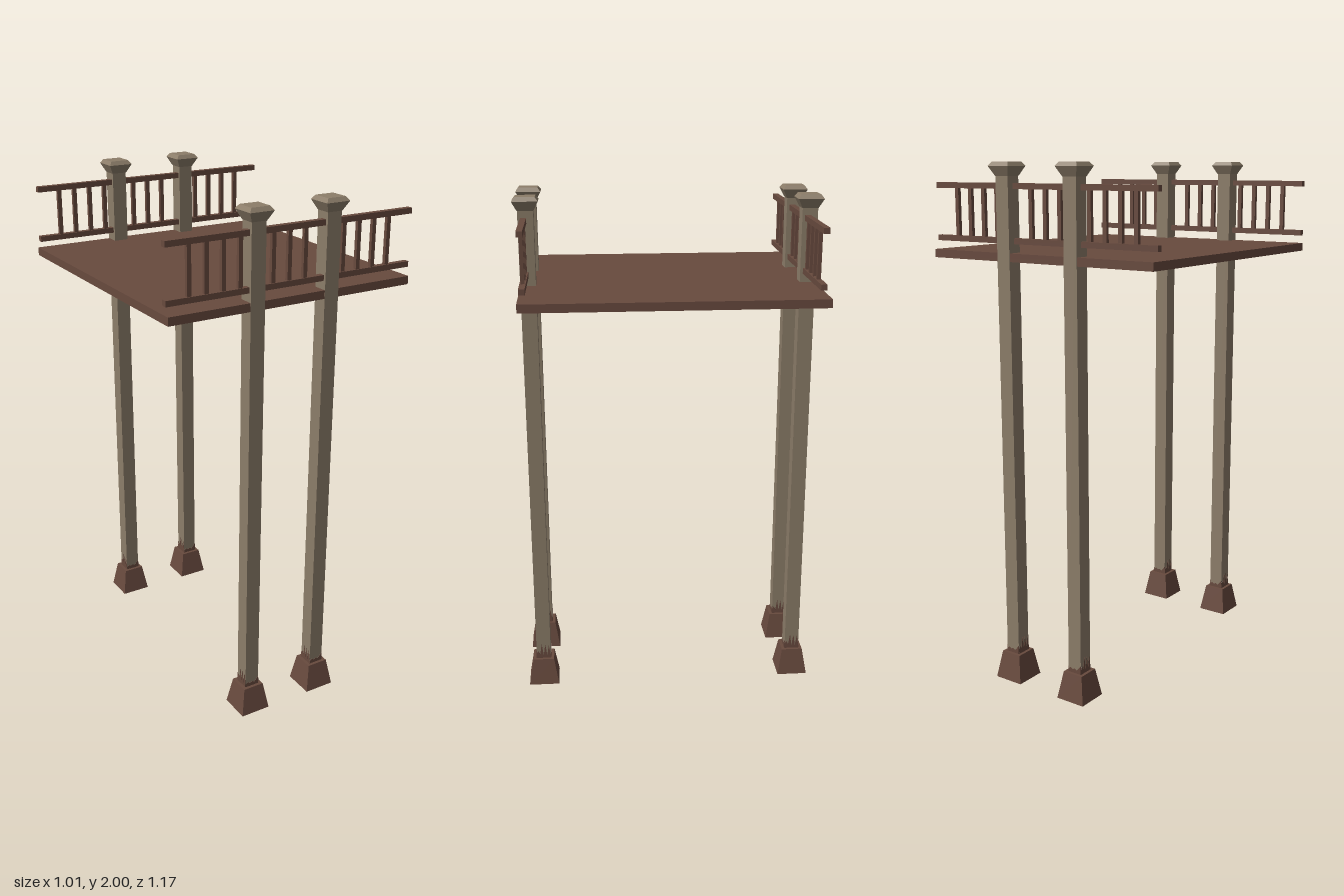
import * as THREE from 'three';

const brownWood = new THREE.MeshStandardMaterial({ color: 0x684a3e });
brownWood.name = 'brownWood';
const paleWood = new THREE.MeshStandardMaterial({ color: 0x8c7d69 });
paleWood.name = 'paleWood';

function box(name, material, w, h, d, x, y, z) {
  const mesh = new THREE.Mesh(new THREE.BoxGeometry(w, h, d), material);
  mesh.name = name;
  mesh.position.set(x, y, z);
  return mesh;
}

// Square tapered block: widths at bottom and top
function taper(name, material, bottom, top, y0, y1) {
  const g = new THREE.CylinderGeometry(top * Math.SQRT1_2, bottom * Math.SQRT1_2, y1 - y0, 4)
    .rotateY(Math.PI / 4).toNonIndexed();
  g.computeVertexNormals();
  const mesh = new THREE.Mesh(g, material);
  mesh.name = name;
  mesh.position.y = (y0 + y1) / 2;
  return mesh;
}

// Thin jagged stain plate that climbs one face of a post
function stain(heights) {
  const w = 0.058, step = w / (heights.length - 1);
  const shape = new THREE.Shape();
  shape.moveTo(-w / 2, 0.1);
  heights.forEach((h, i) => shape.lineTo(-w / 2 + i * step, h));
  shape.lineTo(w / 2, 0.1);
  const mesh = new THREE.Mesh(
    new THREE.ExtrudeGeometry(shape, { depth: 0.002, bevelEnabled: false }), brownWood);
  mesh.name = 'footStain';
  return mesh;
}

function createPost() {
  const post = new THREE.Group();
  post.name = 'post';
  post.add(taper('footing', brownWood, 0.122, 0.085, 0, 0.108));
  post.add(box('shaft', paleWood, 0.058, 1.86, 0.058, 0, 1.03, 0));
  post.add(taper('capFlare', paleWood, 0.06, 0.096, 1.95, 1.985));
  post.add(taper('capTop', paleWood, 0.096, 0.074, 1.985, 2));

  // Short stains on front and back, spiky ones on the sides
  const low = [0.12, 0.127, 0.121, 0.126, 0.12, 0.13, 0.142];
  const spiky = [0.13, 0.14, 0.125, 0.172, 0.12, 0.17, 0.12, 0.165, 0.125];
  for (let i = 0; i < 4; i++) {
    const side = new THREE.Group();
    side.name = 'stainedFace';
    const plate = stain(i % 2 ? spiky : low);
    plate.position.z = 0.0285;
    side.add(plate);
    side.rotation.y = i * Math.PI / 2;
    post.add(side);
  }
  return post;
}

function createRailing(z) {
  const railing = new THREE.Group();
  railing.name = 'railing';
  for (const y of [1.718, 1.914]) {
    railing.add(box('rail', brownWood, 1.008, 0.021, 0.022, 0, y, z));
  }
  // Balusters in two runs, meeting behind the right-hand post
  const xs = [];
  for (let i = 0; i < 8; i++) xs.push(-0.413 + i * 0.0657);
  for (let i = 0; i < 5; i++) xs.push(0.143 + i * 0.0655);
  for (const x of xs) railing.add(box('baluster', brownWood, 0.016, 0.18, 0.014, x, 1.816, z));
  return railing;
}

export function createModel() {
  const model = new THREE.Group();
  model.name = 'raisedPlatform';
  model.add(box('deck', brownWood, 1.002, 0.031, 1.1, 0, 1.66, 0));
  for (const x of [-0.155, 0.153]) {
    for (const z of [-0.524, 0.522]) {
      const post = createPost();
      post.position.set(x, 0, z);
      model.add(post);
    }
  }
  model.add(createRailing(-0.516), createRailing(0.53));
  return model;
}
